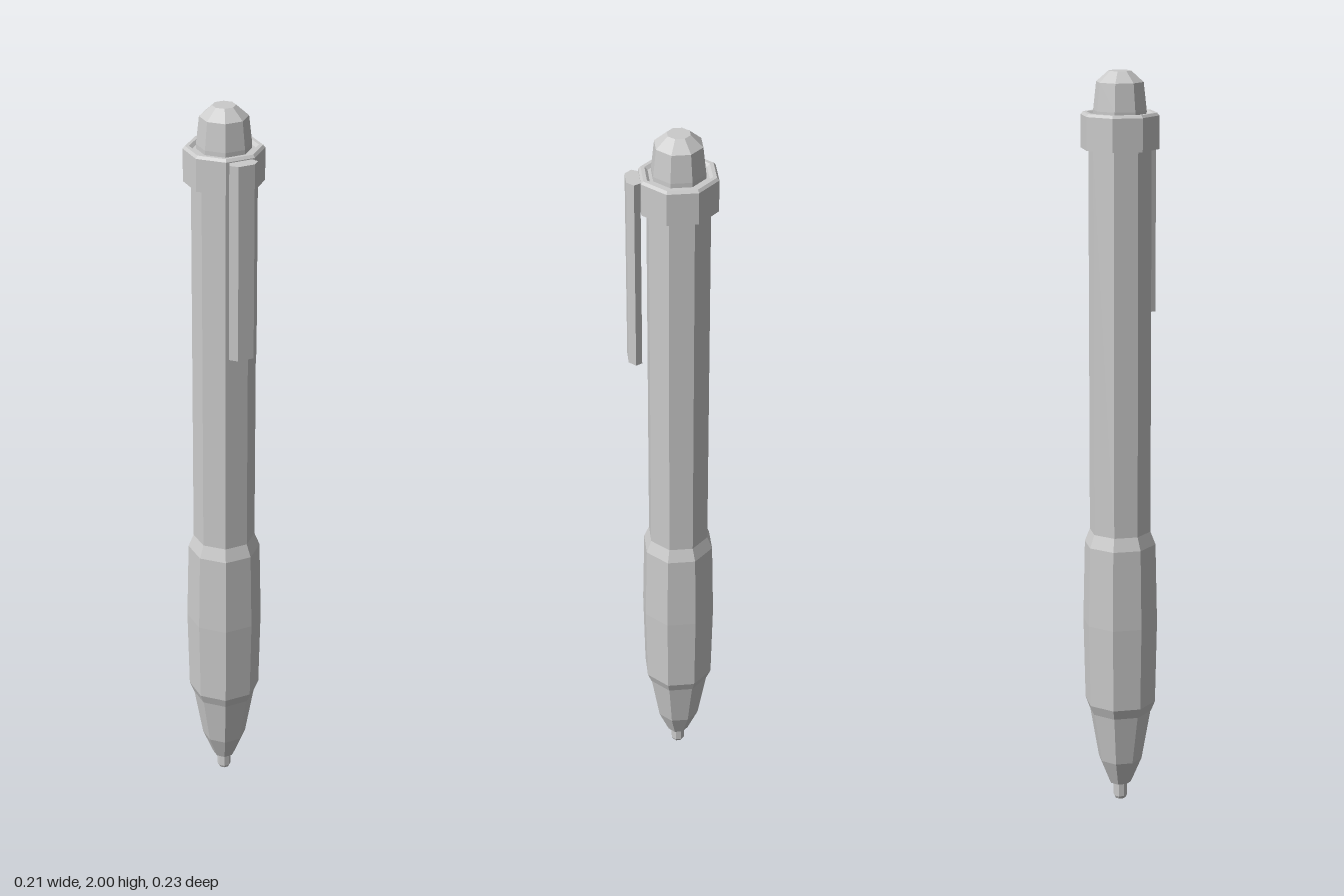
import * as THREE from 'three';

const SIDES = 8;
const AXIS_Z = -0.014; // the barrel sits slightly behind centre, balancing the clip

export function createModel() {
  const pen = new THREE.Group();
  pen.name = 'pen';
  const material = new THREE.MeshStandardMaterial({ color: 0xcccccc, flatShading: true });

  const add = (name, geometry) => {
    const mesh = new THREE.Mesh(geometry, material);
    mesh.name = name;
    mesh.position.z = AXIS_Z;
    pen.add(mesh);
  };

  // Octagonal turned part from [radius, height] pairs, bottom to top
  const turned = (name, profile) =>
    add(name, new THREE.LatheGeometry(profile.map(([r, y]) => new THREE.Vector2(r, y)), SIDES));

  // Upright prism on the front-left facet from [across, outward] corners
  const facetPrism = (name, corners, bottom, top) => {
    const shape = new THREE.Shape(corners.map(([t, d]) => new THREE.Vector2(t, -d)));
    const geometry = new THREE.ExtrudeGeometry(shape, { depth: top - bottom, bevelEnabled: false });
    geometry.rotateX(-Math.PI / 2);
    geometry.translate(0, bottom, 0);
    geometry.rotateY(Math.PI / SIDES);
    add(name, geometry);
  };

  turned('writingTip', [[0, 0], [0.015, 0], [0.019, 0.008], [0.019, 0.06]]);
  turned('noseCone', [[0, 0.048], [0.03, 0.048], [0.06, 0.12], [0.086, 0.27]]);
  turned('grip', [[0.086, 0.262], [0.097, 0.29], [0.102, 0.52], [0.097, 0.74], [0.083, 0.775]]);
  turned('barrel', [[0.083, 0.77], [0.083, 1.81]]);
  turned('collar', [
    [0.08, 1.802], [0.103, 1.802], [0.103, 1.888], [0.097, 1.895],
    [0.087, 1.895], [0.079, 1.888], [0.06, 1.888],
  ]);
  turned('pushButton', [[0.07, 1.88], [0.07, 1.9], [0.062, 1.972], [0.03, 2], [0, 2]]);

  // Pocket clip with a chamfered section, hung from the collar
  facetPrism('clip', [
    [-0.03, 0.096], [-0.039, 0.1125], [-0.022, 0.13],
    [0.022, 0.13], [0.039, 0.1125], [0.03, 0.096],
  ], 1.36, 1.886);
  facetPrism('clipMount', [[-0.03, 0.088], [-0.03, 0.105], [0.03, 0.105], [0.03, 0.088]], 1.805, 1.884);

  return pen;
}
